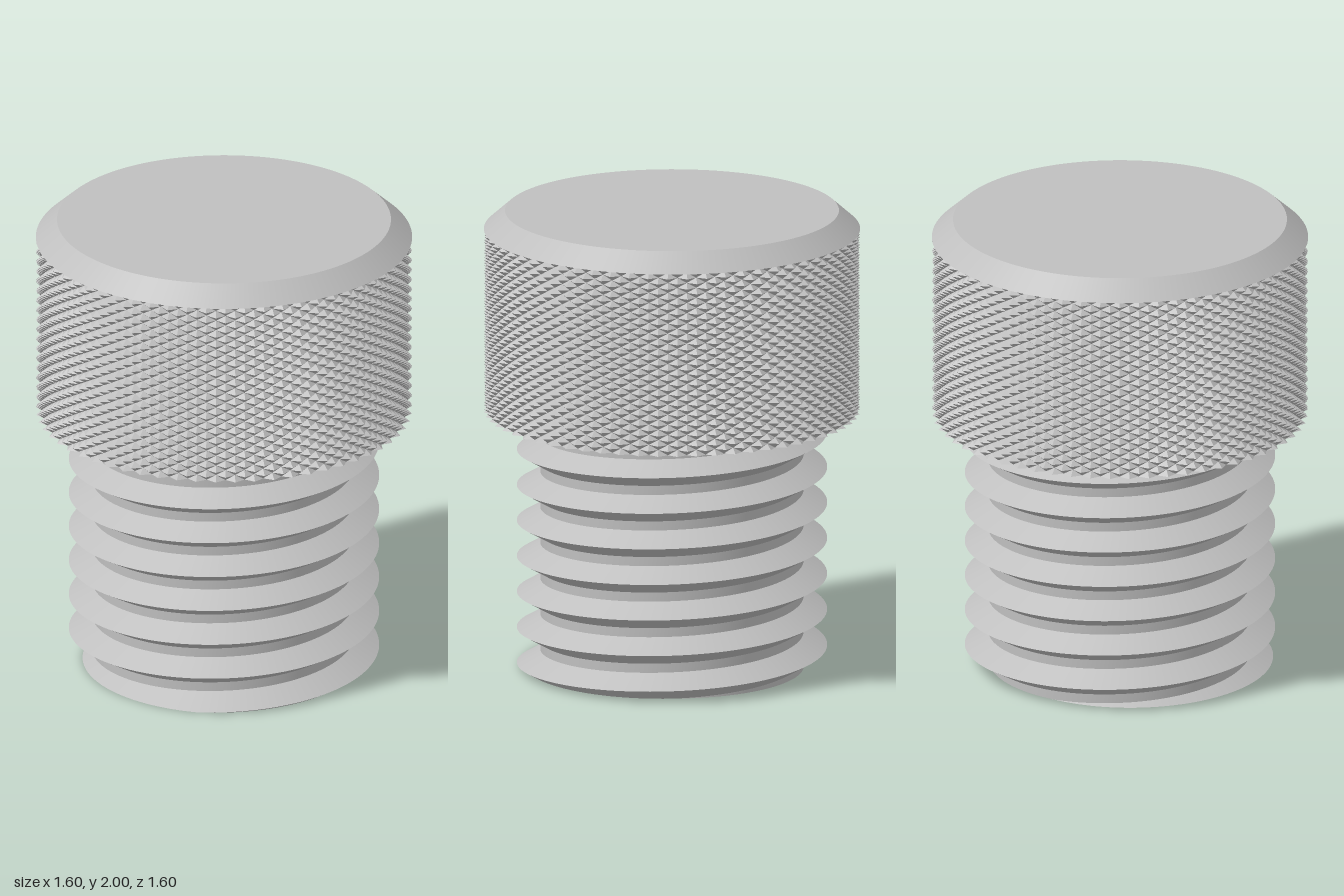
import * as THREE from 'three';
import { mergeGeometries, toCreasedNormals } from 'three/addons/utils/BufferGeometryUtils.js';

const TAU = Math.PI * 2;
// Main sizes
const CAP_Y = 1.12, CHAMFER_Y = 1.92, TOP_Y = 2;
const CAP_R = 0.8, VALLEY_R = 0.77, TOP_R = 0.71;
const ROOT_R = 0.56, CREST_R = 0.66, BORE_R = 0.54;
const PITCH = 0.156, FLANK = 0.058, START = 0.037;
const KNURLS = 60, ROWS = 36;

const polar = (a, r, y) => [r * Math.cos(a), y, -r * Math.sin(a)];

function fromPoints(points) {
  const g = new THREE.BufferGeometry();
  g.setAttribute('position', new THREE.Float32BufferAttribute(points.flat(), 3));
  return g;
}

// Band around the axis between two edges; each edge maps angle -> [radius, height]
function band(lower, upper, segments = 160) {
  const tris = [];
  for (let i = 0; i < segments; i++) {
    const a = (i / segments) * TAU, b = ((i + 1) / segments) * TAU;
    const p = polar(a, ...lower(a)), q = polar(b, ...lower(b));
    const r = polar(b, ...upper(b)), s = polar(a, ...upper(a));
    tris.push(p, q, r, p, r, s);
  }
  return fromPoints(tris);
}
const ring = (r, y) => () => [r, y];
const creased = (bands) => toCreasedNormals(mergeGeometries(bands), 0.4);

// Radius of the threaded surface at any angle and height
const crestY = (a) => START + (PITCH * a) / TAU;
function threadRadius(a, y) {
  const t = (y - crestY(a)) / PITCH;
  const d = Math.abs(t - Math.round(t)) * PITCH;
  return Math.max(ROOT_R, CREST_R - (d * (CREST_R - ROOT_R)) / FLANK);
}

// Helical bands: lower flank, upper flank and root, trimmed at both ends
function threadGeometry() {
  const edge = (offset) => (a) => {
    const y = Math.min(CAP_Y, Math.max(0, crestY(a) + offset));
    return [threadRadius(a, y), y];
  };
  const bands = [];
  for (let k = -2; k <= 7; k++) {
    const stops = [-FLANK, 0, FLANK, PITCH - FLANK].map((o) => o + k * PITCH);
    for (let i = 0; i < 3; i++) bands.push(band(edge(stops[i]), edge(stops[i + 1])));
  }
  return creased(bands);
}

// Staggered rows of four-sided pyramids, halved at the top and bottom rows
function knurlGeometry() {
  const tris = [], step = TAU / KNURLS, dy = (CHAMFER_Y - CAP_Y) / ROWS;
  for (let j = 0; j <= ROWS; j++) {
    const y = CAP_Y + j * dy;
    for (let i = 0; i < KNURLS; i++) {
      const a = (i + (j % 2) / 2) * step;
      const peak = polar(a, CAP_R, y);
      const left = polar(a - step / 2, VALLEY_R, y), right = polar(a + step / 2, VALLEY_R, y);
      if (j < ROWS) {
        const up = polar(a, VALLEY_R, y + dy);
        tris.push(peak, right, up, peak, up, left);
      }
      if (j > 0) {
        const down = polar(a, VALLEY_R, y - dy);
        tris.push(peak, left, down, peak, down, right);
      }
    }
  }
  const g = fromPoints(tris);
  g.computeVertexNormals();
  return g;
}

export function createModel() {
  const model = new THREE.Group();
  model.name = 'threadedCap';
  const metal = new THREE.MeshStandardMaterial({ color: 0xbfbfbf });
  metal.name = 'grey metal';
  const add = (name, geometry) => {
    const mesh = new THREE.Mesh(geometry, metal);
    mesh.name = name;
    model.add(mesh);
  };

  // Hollow threaded shank
  add('thread', threadGeometry());
  add('shankEnd', creased([band(ring(BORE_R, 0), (a) => [threadRadius(a, 0), 0])]));
  add('bore', creased([
    band(ring(0, CAP_Y), ring(BORE_R, CAP_Y)),
    band(ring(BORE_R, CAP_Y), ring(BORE_R, 0)),
  ]));

  // Knurled head with a toothed underside
  const toothed = (a) => [Math.round((a / TAU) * KNURLS * 2) % 2 ? VALLEY_R : CAP_R, CAP_Y];
  add('headUnderside', creased([band(ring(0.55, CAP_Y), toothed, KNURLS * 2)]));
  add('knurledGrip', knurlGeometry());

  // Chamfered top
  add('headTop', creased([
    band(ring(VALLEY_R, CHAMFER_Y), ring(CAP_R, CHAMFER_Y)),
    band(ring(CAP_R, CHAMFER_Y), ring(TOP_R, TOP_Y)),
    band(ring(TOP_R, TOP_Y), ring(0, TOP_Y)),
  ]));
  return model;
}
